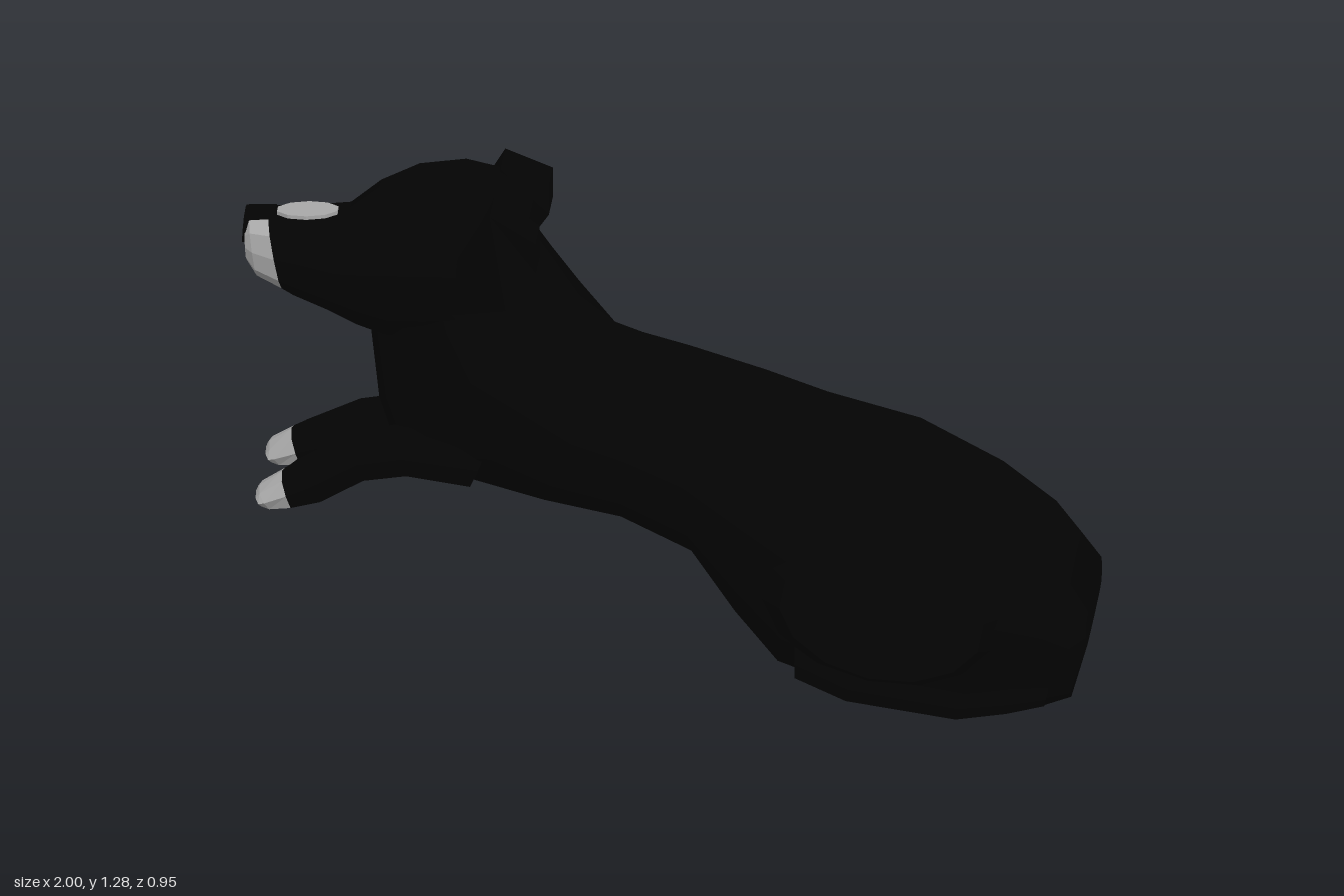
import * as THREE from 'three';

const black = new THREE.MeshStandardMaterial({ color: 0x030303 });
black.name = 'black coat';
const grey = new THREE.MeshStandardMaterial({ color: 0xa8a8a8 });
grey.name = 'pale markings';

// Flat normals for faceted surfaces
function facet(geometry) {
  const g = geometry.index ? geometry.toNonIndexed() : geometry;
  g.computeVertexNormals();
  return g;
}

// Closed skin through rings, listed from rear to front.
// Ring: [topX, topY, bottomX, bottomY, halfWidth, centreZ, topPower, bottomPower];
// a lower power is boxier
function loft(rings, n = 12) {
  const pos = [], idx = [];
  for (const [tx, ty, bx, by, w, cz = 0, topPower = 0.75, bottomPower = topPower] of rings) {
    for (let j = 0; j < n; j++) {
      const power = j <= n / 2 ? topPower : bottomPower;
      const bend = (v) => Math.sign(v) * Math.pow(Math.abs(v), power);
      const a = (j / n) * Math.PI * 2;
      const c = bend(Math.cos(a)), s = bend(Math.sin(a));
      pos.push((tx + bx) / 2 + s * (tx - bx) / 2, (ty + by) / 2 + s * (ty - by) / 2, cz + w * c);
    }
  }
  for (let i = 0; i < rings.length - 1; i++) {
    for (let j = 0; j < n; j++) {
      const k = (j + 1) % n, a = i * n, b = a + n;
      idx.push(a + j, a + k, b + j, a + k, b + k, b + j);
    }
  }
  // End caps
  const last = (rings.length - 1) * n;
  for (let j = 1; j < n - 1; j++) {
    idx.push(0, j + 1, j, last, last + j, last + j + 1);
  }
  const g = new THREE.BufferGeometry();
  g.setAttribute('position', new THREE.Float32BufferAttribute(pos, 3));
  g.setIndex(idx);
  return facet(g);
}

export function createModel() {
  const model = new THREE.Group();
  model.name = 'lyingDog';
  const dog = new THREE.Group();
  dog.name = 'turnedDog';
  dog.rotation.y = -0.3;
  dog.position.set(0.009, 0, -0.029);
  model.add(dog);

  const add = (name, geometry, material) => {
    const mesh = new THREE.Mesh(geometry, material);
    mesh.name = name;
    dog.add(mesh);
    return mesh;
  };

  // Rump, trunk and neck
  add('body', loft([
    [0.968, 0.28, 0.968, 0.2, 0.22, 0, 0.5, 0.4],
    [0.925, 0.36, 0.93, 0.062, 0.225, 0, 0.5, 0.35],
    [0.865, 0.44, 0.86, 0.035, 0.23, 0, 0.5, 0.35],
    [0.74, 0.54, 0.7, 0, 0.25, 0, 0.55, 0.4],
    [0.55, 0.65, 0.42, 0.04, 0.25, 0, 0.6, 0.55],
    [0.33, 0.71, 0.23, 0.1, 0.245, 0, 0.6, 0.65],
    [0.18, 0.76, 0.13, 0.22, 0.235, 0, 0.58, 0.7],
    [0, 0.81, 0.03, 0.37, 0.228, 0, 0.55, 0.75],
    [-0.11, 0.84, -0.14, 0.45, 0.215, 0, 0.52, 0.75],
    [-0.17, 0.87, -0.33, 0.48, 0.19, 0, 0.5, 0.75],
    [-0.25, 0.98, -0.5, 0.51, 0.172, 0, 0.5, 0.85],
    [-0.31, 1.07, -0.67, 0.55, 0.16, 0, 0.5, 1],
    [-0.38, 1.17, -0.72, 0.7, 0.15, 0, 0.5, 1],
    [-0.42, 1.24, -0.74, 0.88, 0.148, 0, 0.6, 1],
  ]), black);

  // Skull and muzzle
  add('head', loft([
    [-0.36, 1.2, -0.45, 0.92, 0.14, 0, 0.5, 0.75],
    [-0.44, 1.265, -0.55, 0.89, 0.165, 0, 0.55, 0.75],
    [-0.52, 1.285, -0.62, 0.88, 0.172, 0, 0.6, 0.75],
    [-0.63, 1.275, -0.7, 0.885, 0.17, 0, 0.7],
    [-0.72, 1.235, -0.77, 0.905, 0.15],
    [-0.79, 1.18, -0.84, 0.935, 0.115],
    [-0.9, 1.172, -0.92, 0.965, 0.09],
    [-0.98, 1.17, -0.945, 0.98, 0.082],
  ]), black);
  add('muzzleTip', loft([
    [-0.98, 1.17, -0.945, 0.98, 0.082],
    [-1.025, 1.165, -1.005, 1.01, 0.072],
    [-1.035, 1.14, -1.03, 1.05, 0.06],
  ]), grey);
  add('nose', loft([
    [-0.965, 1.176, -0.965, 1.1, 0.052],
    [-1.036, 1.174, -1.042, 1.09, 0.05],
  ], 8), black);
  const blaze = add('muzzleBlaze', facet(new THREE.CylinderGeometry(0.047, 0.047, 0.009, 10)), grey);
  blaze.scale.x = 1.6;
  blaze.position.set(-0.888, 1.175, 0.012);
  blaze.rotation.z = 0.04;

  // Throat stripe
  const stripe = add('throatStripe', new THREE.BoxGeometry(0.009, 0.16, 0.026), grey);
  stripe.position.set(-0.722, 0.785, -0.033);
  stripe.rotation.set(0, -0.34, 0.11);

  // Outline of a hanging ear
  const earShape = new THREE.Shape([
    [-0.44, 1.26], [-0.52, 1.13], [-0.53, 1], [-0.48, 0.965],
    [-0.4, 1.03], [-0.33, 1.13], [-0.33, 1.205],
  ].map(([x, y]) => new THREE.Vector2(x, y)));

  // Sideways offsets along each foreleg, from shoulder to toe
  const sides = [
    { word: 'near', side: 1, ear: 0.185, thighZ: 0.245, leg: [0.085, 0.105, 0.12, 0.14, 0.15, 0.152] },
    { word: 'far', side: -1, ear: 0.173, thighZ: 0.228, leg: [-0.08, -0.085, -0.085, -0.1, -0.112, -0.118] },
  ];
  for (const { word, side, ear, thighZ, leg } of sides) {
    const earGeo = new THREE.ExtrudeGeometry(earShape, { depth: 0.11, bevelEnabled: false });
    earGeo.translate(0, 0, -0.055);
    // Outer face slopes in toward the crown and front edge; the root runs into the skull
    const p = earGeo.attributes.position;
    for (let i = 0; i < p.count; i++) {
      const outer = p.getZ(i) * side > 0;
      if (p.getY(i) > 1.22) p.setZ(i, (outer ? 0.03 : -0.1) * side);
      else if (outer && p.getX(i) < -0.5) p.setZ(i, 0.02 * side);
    }
    add(word + 'Ear', facet(earGeo), black).position.z = side * ear;

    // Foreleg and pale paw
    add(word + 'Foreleg', loft([
      [-0.45, 0.64, -0.5, 0.52, 0.06, leg[0]],
      [-0.675, 0.672, -0.64, 0.55, 0.06, leg[1]],
      [-0.78, 0.655, -0.74, 0.54, 0.055, leg[2]],
      [-0.9, 0.595, -0.84, 0.49, 0.052, leg[3]],
      [-0.937, 0.567, -0.91, 0.48, 0.054, leg[4]],
    ], 8), black);
    add(word + 'Paw', loft([
      [-0.937, 0.567, -0.91, 0.48, 0.054, leg[4]],
      [-0.99, 0.53, -0.96, 0.48, 0.054, leg[5]],
      [-0.998, 0.515, -0.98, 0.488, 0.05, leg[5]],
    ], 8), grey);

    // Folded thigh, a shallow oval slab with sloping edges
    const thighGeo = new THREE.CylinderGeometry(0.82, 1, 1, 14);
    thighGeo.rotateX(side * Math.PI / 2);
    const thigh = add(word + 'Thigh', facet(thighGeo), black);
    thigh.scale.set(0.3, 0.2, 0.06);
    thigh.position.set(0.49, 0.3, side * thighZ);
    thigh.rotation.z = -0.2;

    // Hind foot tucked along the ground
    add(word + 'HindFoot', loft([
      [0.88, 0.11, 0.87, 0.06, 0.04, side * 0.2],
      [0.8, 0.11, 0.78, 0.04, 0.05, side * 0.205],
      [0.68, 0.1, 0.66, 0.02, 0.05, side * 0.205],
      [0.42, 0.14, 0.4, 0.055, 0.05, side * 0.2],
      [0.28, 0.2, 0.28, 0.1, 0.04, side * 0.19],
    ], 8), black);
  }
  return model;
}
